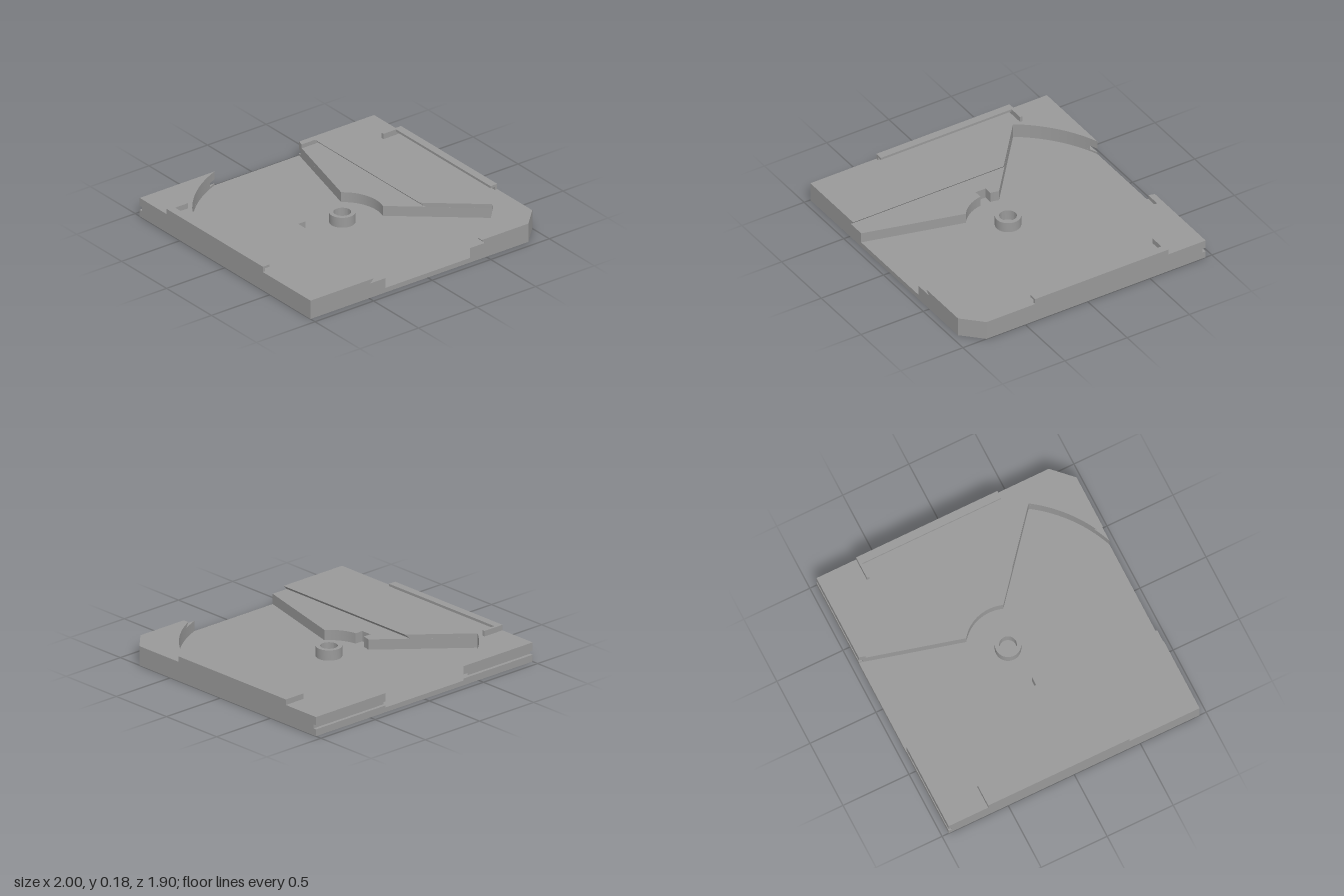
import * as THREE from 'three';
import { toCreasedNormals } from 'three/addons/utils/BufferGeometryUtils.js';

const grey = new THREE.MeshStandardMaterial({ color: 0x999999 });
grey.name = 'grey plastic';

const BACK = -0.95, FRONT = 0.95, FLOOR = 0.035, SHELF = 0.11, TOP = 0.14;
const OUTER = 1.016; // radius of the swept clearance arcs

// Points on an arc about the origin between two [x, z] points
function arc(a, b, n = 24) {
  const r = Math.hypot(...a), s = Math.hypot(...b);
  const t0 = Math.atan2(a[1], a[0]), t1 = Math.atan2(b[1], b[0]);
  return Array.from({ length: n + 1 }, (_, i) => {
    const k = i / n, t = t0 + (t1 - t0) * k, q = r + (s - r) * k;
    return [q * Math.cos(t), q * Math.sin(t)];
  });
}

// Extrude an [x, z] outline upward from y0 to y1
function slab(points, y0, y1) {
  const shape = new THREE.Shape(points.map(([x, z]) => new THREE.Vector2(x, -z)));
  const geo = new THREE.ExtrudeGeometry(shape, { depth: y1 - y0, bevelEnabled: false });
  geo.rotateX(-Math.PI / 2);
  geo.translate(0, y0, 0);
  return geo;
}

// Slant the edge lying on x = +-0.46 outward at the bottom, making a dovetail
function undercut(geo, y0) {
  const p = geo.attributes.position;
  for (let i = 0; i < p.count; i++) {
    const x = p.getX(i), z = p.getZ(i);
    if (Math.abs(Math.abs(x) - 0.46) > 1e-4 || p.getY(i) > y0 + 1e-3) continue;
    const s = Math.sign(x);
    p.setX(i, x + 0.03 * s);
    if (Math.abs(z) < 0.3) p.setZ(i, z + 0.025 * s);
    else if (s * z > 0.85 && s * z < 0.94) p.setZ(i, z - 0.016 * s);
  }
  return geo;
}

export function createModel() {
  const model = new THREE.Group();
  model.name = 'slottedPlate';
  const add = (name, geo, parent = model) => {
    const mesh = new THREE.Mesh(toCreasedNormals(geo, 0.3), grey);
    mesh.name = name;
    parent.add(mesh);
    return mesh;
  };

  // Floor plate with one cut corner
  add('floorPlate', slab([[-1, BACK], [1, BACK], [1, 0.81], [0.86, FRONT], [-1, FRONT]], 0, FLOOR));

  // Lower block outlines; back sets where the rear edge lies
  const arcX = z => Math.sqrt(OUTER * OUTER - z * z);
  const rightBlock = back => [
    [-1, back],
    ...arc([-arcX(back), back], [-0.838, -0.575]),
    ...arc([-0.27, -0.1], [-0.284, -0.04], 4),
    [-0.345, -0.04], [-0.345, 0.04],
    ...arc([-0.284, 0.04], [-0.17, 0.23], 12),
    [-0.36, FRONT], [-1, FRONT],
  ];
  const leftBlock = back => [
    [0.36 - (back - BACK) * 0.27, back], [1, back],
    [1, 0.81], [0.86, FRONT],
    ...arc([0.36, FRONT], [0.838, 0.575]),
    ...arc([0.27, 0.1], [0.168, -0.232], 18),
  ];

  // Layers of each block; the middle one is set in to leave the rear groove
  const layers = [[FLOOR, 0.05, BACK], [0.05, 0.08, BACK + 0.025], [0.08, SHELF, BACK]];
  for (const [side, outline] of [['right', rightBlock], ['left', leftBlock]]) {
    const block = new THREE.Group();
    block.name = side + 'Block';
    layers.forEach(([y0, y1, back], i) => add(side + 'Layer' + (i + 1), slab(outline(back), y0, y1), block));
    model.add(block);
  }

  // Raised top layers with the dovetail edge
  add('rightTop', undercut(slab([
    [-1, BACK],
    ...arc([-0.36, BACK], [-0.838, -0.575]),
    [-0.46, -0.258], [-0.46, FRONT], [-1, FRONT],
  ], SHELF, TOP), SHELF));
  add('leftTop', undercut(slab([
    [0.36, BACK], [1, BACK], [1, 0.81], [0.86, FRONT], [0.46, FRONT],
    ...arc([0.46, arcX(0.46)], [0.838, 0.575]),
    [0.46, 0.258], [0.46, -0.905], [0.348, -0.905],
  ], SHELF, TOP), SHELF));

  // Hollow centre hub
  add('hub', new THREE.LatheGeometry([
    [0.06, FLOOR], [0.09, FLOOR], [0.09, SHELF], [0.06, SHELF], [0.06, FLOOR],
  ].map(([x, y]) => new THREE.Vector2(x, y)), 48));

  // Side rails: a thin wall, an overhanging lip and an end stop
  for (const s of [-1, 1]) {
    const rail = new THREE.Group();
    rail.name = s < 0 ? 'rightRail' : 'leftRail';
    const box = (name, width, y0, y1, z0, z1) => {
      const geo = new THREE.BoxGeometry(width, y1 - y0, z1 - z0);
      geo.translate(s * (1 - width / 2), (y0 + y1) / 2, (z0 + z1) / 2);
      add(name, geo, rail);
    };
    box('railWall', 0.02, TOP, 0.163, -0.63, 0.42);
    box('railLip', 0.057, 0.163, 0.18, -0.63, 0.42);
    box('railStop', 0.165, TOP, 0.18, -0.65, -0.63);
    model.add(rail);
  }
  return model;
}
